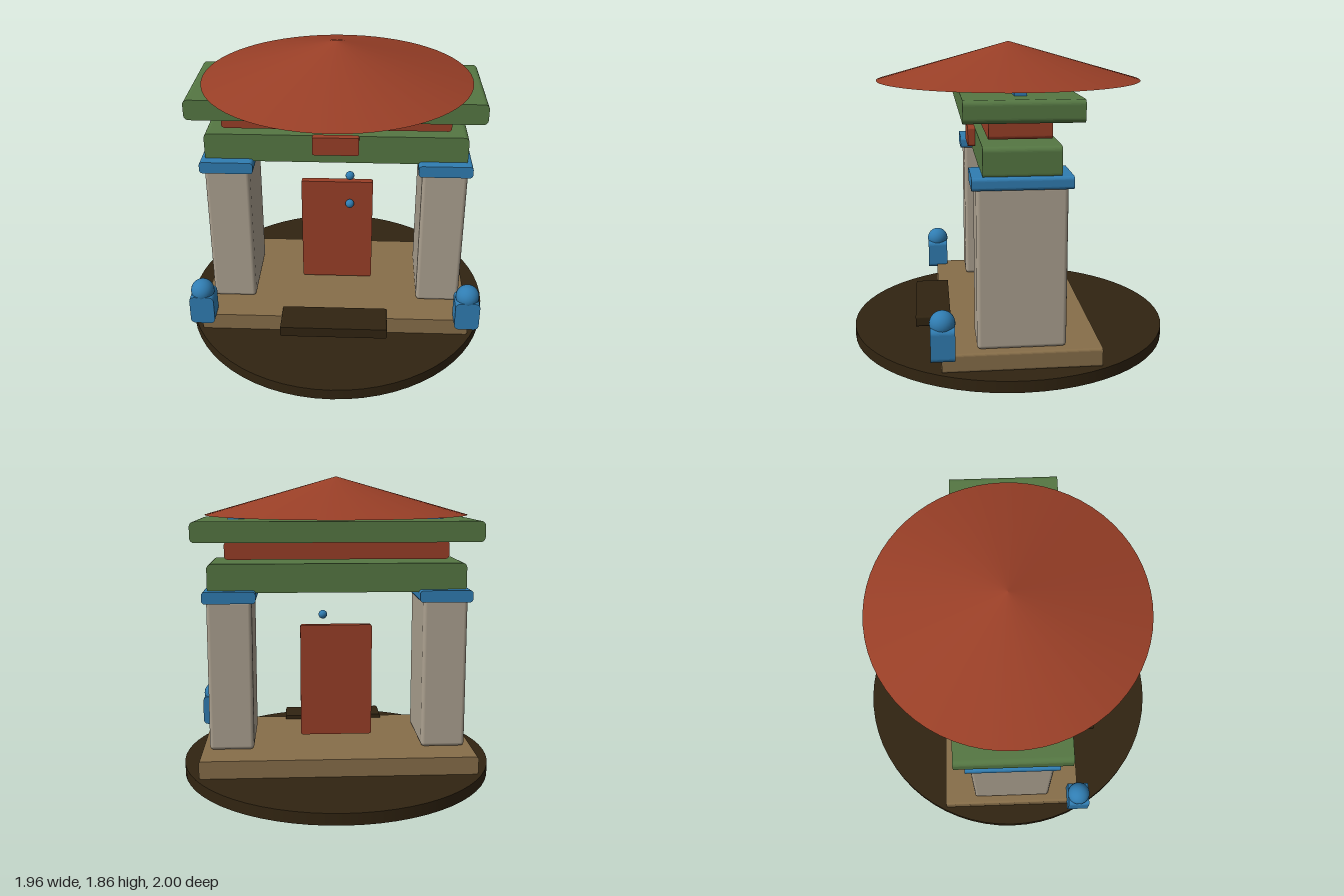
import * as THREE from 'three';
import { RoundedBoxGeometry } from 'three/addons/geometries/RoundedBoxGeometry.js';

const material = (name, color) => {
  const m = new THREE.MeshStandardMaterial({ color });
  m.name = name;
  return m;
};

// Block with a rounded front outline, extruded along z
function roundedSlab(w, h, d, r) {
  const x = w / 2, y = h / 2;
  const s = new THREE.Shape();
  s.moveTo(-x + r, -y);
  s.lineTo(x - r, -y);
  s.absarc(x - r, -y + r, r, -Math.PI / 2, 0);
  s.lineTo(x, y - r);
  s.absarc(x - r, y - r, r, 0, Math.PI / 2);
  s.lineTo(-x + r, y);
  s.absarc(-x + r, y - r, r, Math.PI / 2, Math.PI);
  s.lineTo(-x, -y + r);
  s.absarc(-x + r, -y + r, r, Math.PI, Math.PI * 1.5);
  return new THREE.ExtrudeGeometry(s, { depth: d, bevelEnabled: false, curveSegments: 4 }).translate(0, 0, -d / 2);
}

export function createModel() {
  const red = material('red lacquer', 0x993f27);
  const green = material('green beam', 0x557743);
  const blue = material('blue trim', 0x307db2);
  const stone = material('pale stone', 0xaca190);
  const tan = material('tan platform', 0x876e49);
  const dark = material('dark earth', 0x312411);

  const model = new THREE.Group();
  model.name = 'gateShrine';

  const add = (name, geometry, mat, x, y, z) => {
    const mesh = new THREE.Mesh(geometry, mat);
    mesh.name = name;
    mesh.position.set(x, y, z);
    model.add(mesh);
    return mesh;
  };
  // Slab placed by its bottom and top heights
  const slab = (name, mat, w, y0, y1, d, r, x = 0, z = 0) =>
    add(name, roundedSlab(w, y1 - y0, d, r), mat, x, (y0 + y1) / 2, z);

  // Ground, platform and step
  add('groundDisc', new THREE.CylinderGeometry(1, 1, 0.07, 64), dark, 0, 0.035, 0).scale.x = 0.98;
  slab('platform', tan, 1.695, 0.07, 0.18, 0.915, 0.015);
  slab('frontStep', dark, 0.665, 0.14, 0.206, 0.215, 0.012, 0, 0.498);

  // Pillars, capitals and guardian posts, mirrored left and right
  for (const side of [-1, 1]) {
    const prefix = side > 0 ? 'left' : 'right';
    add(prefix + 'Pillar', new RoundedBoxGeometry(0.275, 0.94, 0.51, 2, 0.024), stone, side * 0.662, 0.65, 0);
    slab(prefix + 'Capital', blue, 0.325, 1.105, 1.178, 0.56, 0.02, side * 0.662);
    slab(prefix + 'GuardianBody', blue, 0.152, 0.157, 0.352, 0.137, 0.03, side * 0.83, 0.45);
    add(prefix + 'GuardianHead', new THREE.SphereGeometry(0.073, 24, 16), blue, side * 0.83, 0.365, 0.45);
  }

  // Door and its two studs
  slab('door', red, 0.46, 0.2, 0.926, 0.046, 0.015);
  for (const y of [0.78, 0.985]) {
    add('doorStud', new THREE.SphereGeometry(0.028, 16, 12), blue, 0.083, y, 0.045);
  }

  // Stacked beams
  slab('lowerBeam', green, 1.59, 1.163, 1.34, 0.435, 0.03);
  slab('plaque', red, 0.28, 1.232, 1.347, 0.045, 0.012, 0, 0.24);
  slab('middleBeam', red, 1.38, 1.362, 1.472, 0.355, 0.022);
  slab('upperBeam', green, 1.755, 1.475, 1.6, 0.65, 0.03);
  add('ridge', new THREE.BoxGeometry(1.35, 0.05, 0.07), blue, 0, 1.623, 0);

  // Conical roof
  add('roof', new THREE.ConeGeometry(0.815, 0.232, 64), red, 0, 1.746, 0);

  return model;
}
